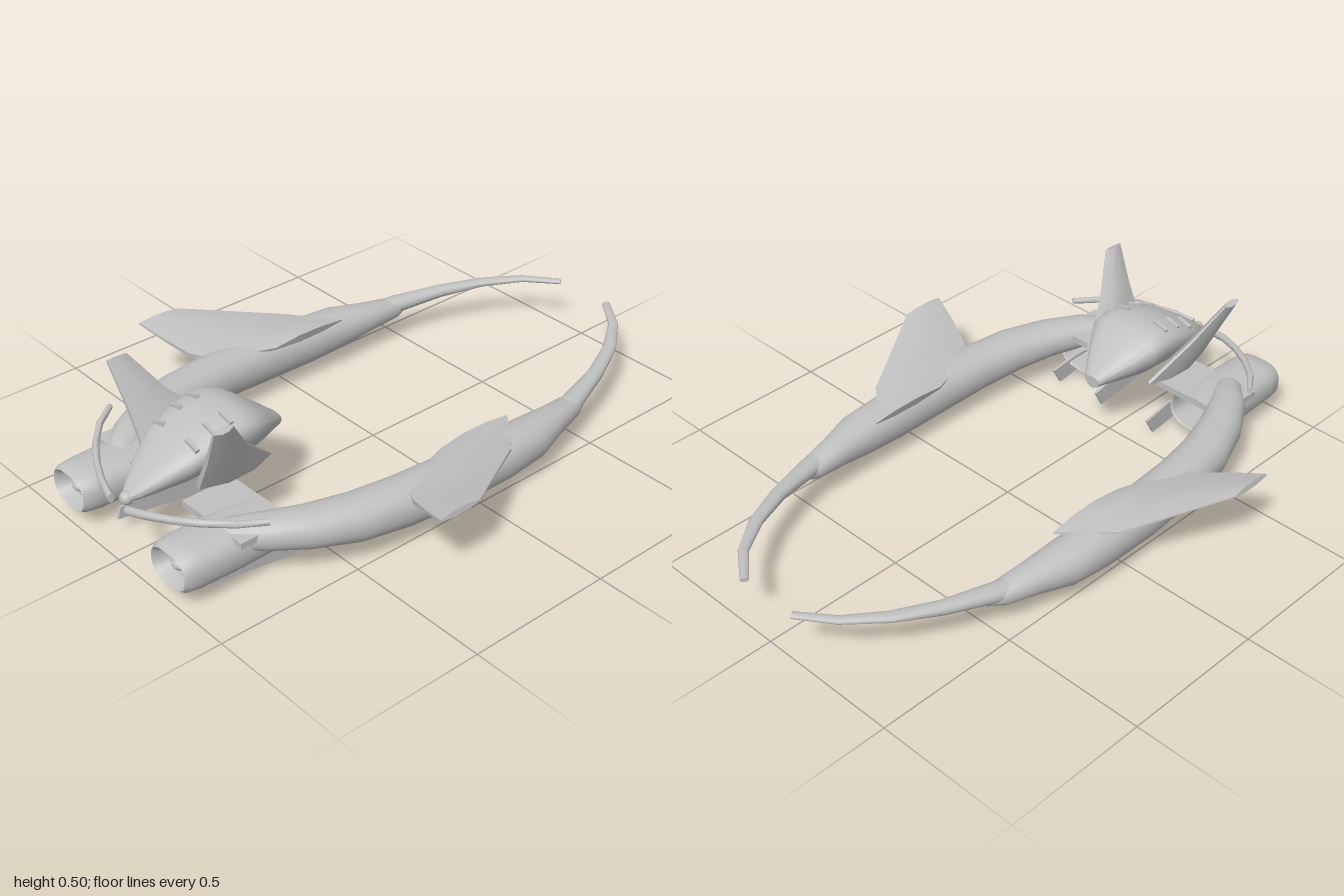
import * as THREE from 'three';
import { toCreasedNormals } from 'three/addons/utils/BufferGeometryUtils.js';

const hull = new THREE.MeshStandardMaterial({ color: 0xc0c0c0 });
hull.name = 'hull grey';

// Reverse the corner order of an indexed geometry
function flip(geo) {
  const a = geo.index.array;
  for (let i = 0; i < a.length; i += 3) [a[i + 1], a[i + 2]] = [a[i + 2], a[i + 1]];
}

// Skin a list of equal-length point rings and cap both ends
function loft(rings, crease = 0.6) {
  const n = rings[0].length, pos = [], idx = [];
  rings.forEach(r => r.forEach(p => pos.push(...p)));
  for (let i = 0; i < rings.length - 1; i++) {
    for (let j = 0; j < n; j++) {
      const a = i * n + j, b = i * n + (j + 1) % n;
      idx.push(a, b, a + n, b, b + n, a + n);
    }
  }
  [0, rings.length - 1].forEach((ri, end) => {
    const c = pos.length / 3, r = rings[ri];
    pos.push(...[0, 1, 2].map(k => r.reduce((s, p) => s + p[k], 0) / n));
    for (let j = 0; j < n; j++) {
      const a = ri * n + j, b = ri * n + (j + 1) % n;
      idx.push(c, end ? a : b, end ? b : a);
    }
  });
  const geo = new THREE.BufferGeometry();
  geo.setAttribute('position', new THREE.Float32BufferAttribute(pos, 3));
  geo.setIndex(idx);
  // Signed volume decides which way is out
  let vol = 0;
  const v = i => new THREE.Vector3().fromArray(pos, i * 3);
  for (let i = 0; i < idx.length; i += 3) vol += v(idx[i]).dot(v(idx[i + 1]).cross(v(idx[i + 2])));
  if (vol < 0) flip(geo);
  return toCreasedNormals(geo, crease);
}

// Rounded outline: returns [across, up] pairs of a superellipse
function outline(hw, up, down, power = 2, lowPower = power, n = 28) {
  return Array.from({ length: n }, (_, i) => {
    const t = i / n * Math.PI * 2, c = Math.cos(t), s = Math.sin(t);
    const e = 2 / (s < 0 ? lowPower : power);
    return [hw * Math.sign(c) * Math.abs(c) ** e, (s < 0 ? down : up) * Math.sign(s) * Math.abs(s) ** e];
  });
}

// Sweep ovals along a path; rows are [x, y, z, halfWidth, halfHeight]
function sweep(rows, n = 20) {
  return loft(rows.map((r, i) => {
    const a = rows[Math.max(i - 1, 0)], b = rows[Math.min(i + 1, rows.length - 1)];
    const tx = b[0] - a[0], tz = b[2] - a[2], l = Math.hypot(tx, tz);
    return outline(r[3], r[4], r[4], 2.2, 2.2, n).map(([u, w]) => [r[0] + u * tz / l, r[1] + w, r[2] - u * tx / l]);
  }));
}

// Fin section along z; rows are [x, y, zBack, zFront, halfThickness]
function fin(rows, nx, ny) {
  const section = [[0, 0.15], [0.3, 0.9], [0.65, 1], [1, 0.3], [1, -0.3], [0.65, -1], [0.3, -0.9], [0, -0.15]];
  return loft(rows.map(([x, y, z0, z1, t]) =>
    section.map(([u, w]) => [x + nx * w * t, y + ny * w * t, z0 + (z1 - z0) * u])), 0.5);
}

// Upright plate drawn in (z, y) and centred on x
function plate(x, pts, t = 0.009) {
  const shape = new THREE.Shape(pts.map(p => new THREE.Vector2(...p)));
  const geo = new THREE.ExtrudeGeometry(shape, { depth: t, bevelEnabled: false });
  return geo.rotateY(-Math.PI / 2).translate(x + t / 2, 0, 0);
}

export function createModel() {
  const model = new THREE.Group();
  model.name = 'spacecraft';
  const add = (name, geo) => {
    const mesh = new THREE.Mesh(geo, hull);
    mesh.name = name;
    model.add(mesh);
  };
  // Add a part on +x and its mirror image on -x
  const pair = (name, geo) => {
    add(name + 'Left', geo);
    const m = geo.clone().scale(-1, 1, 1);
    if (!m.index) m.setIndex([...Array(m.attributes.position.count).keys()]);
    flip(m);
    // Keep normals facing out after the mirror
    const nor = m.attributes.normal, src = geo.attributes.normal;
    for (let i = 0; i < nor.count; i++) nor.setXYZ(i, -src.getX(i), src.getY(i), src.getZ(i));
    add(name + 'Right', m);
  };

  // Cockpit pod: rows are z, half width, bottom, top
  const pod = [
    [0.40, 0.03, 0.222, 0.265], [0.45, 0.068, 0.22, 0.308], [0.50, 0.102, 0.215, 0.347],
    [0.56, 0.138, 0.21, 0.39], [0.61, 0.142, 0.208, 0.40], [0.70, 0.138, 0.203, 0.385],
    [0.80, 0.118, 0.198, 0.338], [0.88, 0.073, 0.193, 0.283], [0.93, 0.04, 0.19, 0.242], [0.962, 0.014, 0.19, 0.216]
  ];
  add('cockpitPod', loft(pod.map(([z, w, b, t]) => {
    const cy = b + (t - b) * 0.68;
    return outline(w, t - cy, cy - b, 2.5, 1.75, 36).map(([u, v]) => [u, cy + v, z]);
  })));
  add('noseBall', new THREE.SphereGeometry(0.022, 20, 14).translate(0, 0.205, 0.955));

  // Vent bars on the pod's shoulders
  [[0.645, 0.388], [0.705, 0.374], [0.77, 0.345]].forEach(([z, y], i) =>
    pair('vent' + (i + 1), new THREE.BoxGeometry(0.055, 0.014, 0.014).rotateZ(-0.28).translate(0.082, y, z)));

  // Raked tail fins beside the pod
  pair('tailFin', fin([[0.14, 0.243, 0.53, 0.80, 0.03], [0.20, 0.365, 0.66, 0.805, 0.022], [0.262, 0.496, 0.75, 0.82, 0.012]], 0.9, -0.43));

  // Curved booms
  pair('boom', sweep([
    [0.425, 0.122, -0.53, 0.012, 0.014], [0.43, 0.122, -0.47, 0.042, 0.034], [0.447, 0.12, -0.35, 0.056, 0.05],
    [0.465, 0.118, -0.24, 0.075, 0.067], [0.47, 0.117, -0.1, 0.08, 0.076], [0.472, 0.121, 0.1, 0.08, 0.08],
    [0.463, 0.13, 0.3, 0.081, 0.076], [0.44, 0.138, 0.46, 0.08, 0.07], [0.393, 0.146, 0.6, 0.072, 0.061],
    [0.335, 0.152, 0.71, 0.063, 0.053], [0.275, 0.152, 0.79, 0.05, 0.044], [0.23, 0.148, 0.835, 0.025, 0.025]
  ], 28));

  // Slim spars curling inward at the back
  pair('tailSpar', sweep([
    [0.437, 0.128, -0.42, 0.036, 0.03], [0.428, 0.133, -0.48, 0.036, 0.028], [0.375, 0.147, -0.65, 0.026, 0.02],
    [0.308, 0.159, -0.79, 0.023, 0.013], [0.218, 0.167, -0.91, 0.017, 0.01], [0.108, 0.17, -0.993, 0.014, 0.008]
  ], 16));

  // Swept wings rising from the booms
  pair('wing', fin([
    [0.40, 0.182, -0.21, 0.08, 0.016], [0.47, 0.183, -0.15, 0.28, 0.028], [0.55, 0.19, -0.075, 0.33, 0.026],
    [0.64, 0.222, 0.08, 0.365, 0.017], [0.735, 0.254, 0.24, 0.395, 0.01]
  ], -0.25, 0.97));

  // Engine nacelles, open at both ends: rows are z, half width, half height
  const nacelle = [
    [0.76, 0.06, 0.035], [0.75, 0.09, 0.058], [0.64, 0.094, 0.06], [0.635, 0.1, 0.066], [0.80, 0.101, 0.071],
    [0.94, 0.096, 0.071], [0.985, 0.09, 0.066], [0.998, 0.081, 0.057], [0.985, 0.072, 0.049], [0.93, 0.058, 0.038]
  ];
  pair('nacelle', loft(nacelle.map(([z, w, h]) => outline(w, h, h, 2.6).map(([u, v]) => [0.255 + u, 0.115 + v, z]))));
  pair('intakeRing', new THREE.TorusGeometry(0.05, 0.006, 8, 32).scale(1.1, 0.75, 1).translate(0.255, 0.115, 0.95));
  pair('spinner', new THREE.SphereGeometry(1, 20, 14).scale(0.034, 0.024, 0.045).translate(0.255, 0.115, 0.935));

  // Flat stub plates and the fins below the engines
  pair('stubPlate', new THREE.BoxGeometry(0.28, 0.022, 0.185).translate(0.227, 0.167, 0.728));
  pair('outerKeel', plate(0.318, [[0.91, 0.05], [0.59, 0], [0.555, 0.062], [0.66, 0.075], [0.88, 0.075]]));
  pair('innerKeel', plate(0.118, [[0.92, 0.046], [0.59, 0], [0.555, 0.062], [0.66, 0.085], [0.91, 0.085]]));

  // Curved front yoke rods
  pair('yokeRod', sweep([
    [0.04, 0.195, 0.983, 0.011, 0.015], [0.11, 0.207, 0.965, 0.011, 0.014], [0.19, 0.217, 0.93, 0.011, 0.013],
    [0.27, 0.226, 0.88, 0.011, 0.012], [0.345, 0.232, 0.815, 0.011, 0.011], [0.4, 0.235, 0.74, 0.009, 0.01]
  ], 12));
  return model;
}
